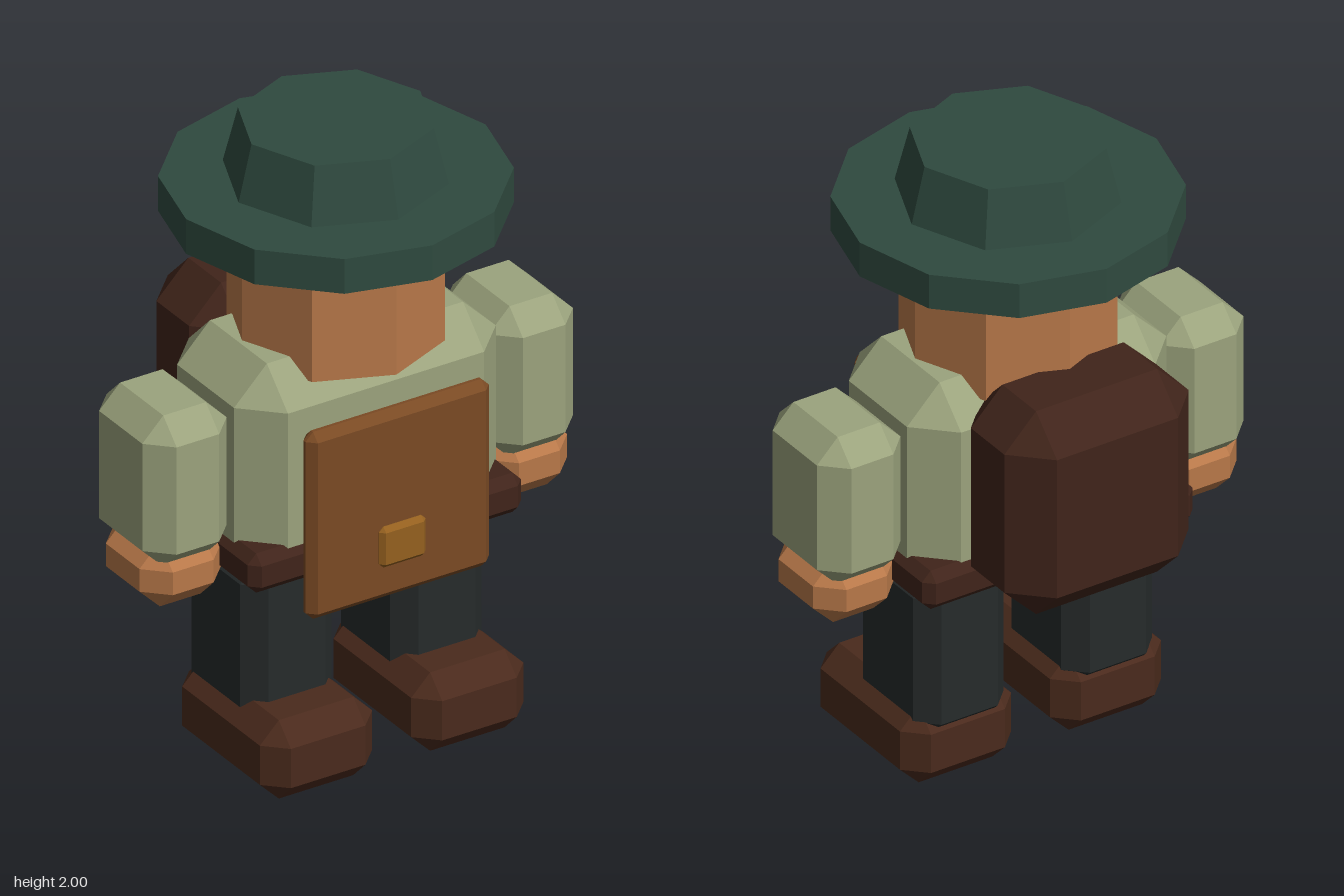
import * as THREE from 'three';
import { ConvexGeometry } from 'three/addons/geometries/ConvexGeometry.js';

const paint = (color) => new THREE.MeshStandardMaterial({ color, flatShading: true });

// Box with all edges bevelled by c, given as [min, max] ranges per axis
function bevelBox(name, x, y, z, c, material) {
  const mid = [x, y, z].map(([a, b]) => (a + b) / 2);
  const half = [x, y, z].map(([a, b]) => (b - a) / 2);
  const points = [];
  for (const sx of [-1, 1]) for (const sy of [-1, 1]) for (const sz of [-1, 1]) {
    for (let axis = 0; axis < 3; axis++) {
      const p = half.map((h, i) => (i === axis ? h : h - c));
      points.push(new THREE.Vector3(p[0] * sx, p[1] * sy, p[2] * sz));
    }
  }
  const mesh = new THREE.Mesh(new ConvexGeometry(points), material);
  mesh.name = name;
  mesh.position.set(...mid);
  return mesh;
}

// Upright faceted prism, slightly forward of the centre
function prism(name, rTop, rBottom, y0, y1, sides, material) {
  const mesh = new THREE.Mesh(new THREE.CylinderGeometry(rTop, rBottom, y1 - y0, sides), material);
  mesh.name = name;
  mesh.position.set(0, (y0 + y1) / 2, 0.027);
  return mesh;
}

export function createModel() {
  const model = new THREE.Group();
  model.name = 'traveller';

  const hatGreen = paint(0x2f4a3f);
  const skin = paint(0xb87849);
  const shirt = paint(0x9ba37d);
  const leather = paint(0x4a2a1c);
  const darkLeather = paint(0x40241a);
  const trousers = paint(0x262b2b);
  const apronBrown = paint(0x7a4a24);
  const brass = paint(0x94601f);

  // Body
  model.add(
    bevelBox('torso', [-0.45, 0.45], [0.625, 1.36], [-0.235, 0.295], 0.113, shirt),
    bevelBox('belt', [-0.47, 0.47], [0.68, 0.81], [-0.26, 0.315], 0.03, darkLeather),
    bevelBox('apron', [-0.315, 0.315], [0.58, 1.2], [0.317, 0.38], 0.026, apronBrown),
    bevelBox('buckle', [-0.08, 0.08], [0.695, 0.83], [0.345, 0.397], 0.015, brass),
    bevelBox('backpack', [-0.32, 0.32], [0.69, 1.38], [-0.545, -0.15], 0.11, darkLeather),
  );

  // Head and hat
  model.add(
    prism('head', 0.323, 0.323, 1.3, 1.74, 8, skin),
    prism('hatBrim', 0.515, 0.515, 1.705, 1.82, 12, hatGreen),
    prism('hatCrown', 0.29, 0.337, 1.81, 2, 8, hatGreen),
  );

  // Limbs on both sides
  for (const [side, s] of [['left', 1], ['right', -1]]) {
    const span = (a, b) => (s > 0 ? [a, b] : [-b, -a]);
    model.add(
      bevelBox(side + 'Arm', span(0.45, 0.74), [0.77, 1.27], [-0.16, 0.215], 0.072, shirt),
      bevelBox(side + 'Hand', span(0.455, 0.735), [0.625, 0.84], [-0.13, 0.19], 0.07, skin),
      bevelBox(side + 'Leg', span(0.1, 0.415), [0.16, 0.7], [-0.16, 0.22], 0.06, trousers),
      bevelBox(side + 'Boot', span(0.067, 0.453), [0, 0.26], [-0.155, 0.39], 0.065, leather),
    );
  }
  return model;
}
